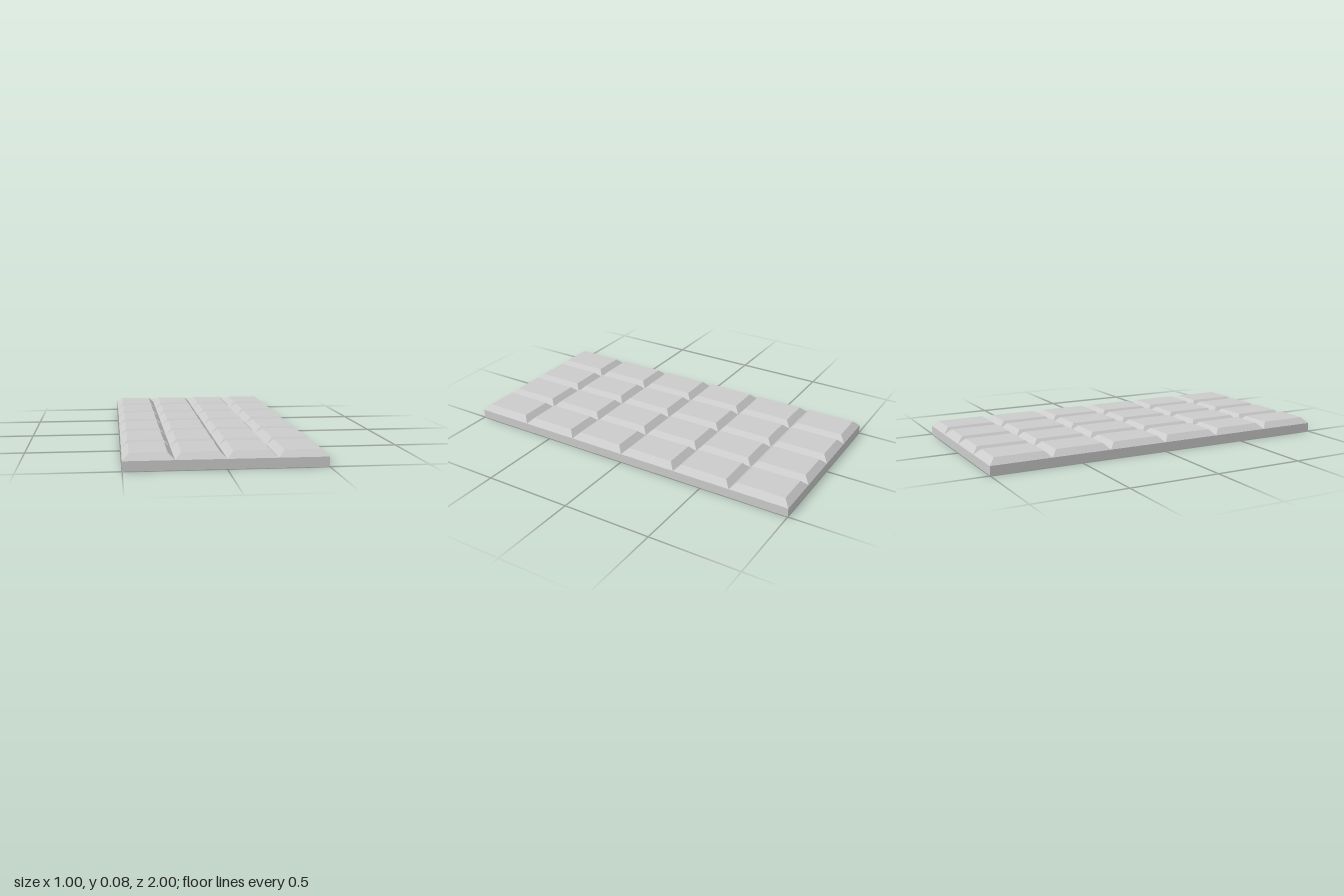
import * as THREE from 'three';

const WIDTH = 1, LENGTH = 2, COLS = 4, ROWS = 6;
const BASE_H = 0.05, BEVEL = 0.033;

// Box whose top face is drawn in by the bevel on all four sides
function bevelledBlock(w, h, d, inset) {
  const geo = new THREE.BoxGeometry(w, h, d).translate(0, h / 2, 0);
  const pos = geo.attributes.position;
  for (let i = 0; i < pos.count; i++) {
    if (pos.getY(i) < h / 2) continue;
    pos.setX(i, Math.sign(pos.getX(i)) * (w / 2 - inset));
    pos.setZ(i, Math.sign(pos.getZ(i)) * (d / 2 - inset));
  }
  geo.computeVertexNormals();
  return geo;
}

export function createModel() {
  const model = new THREE.Group();
  model.name = 'segmentedBar';
  const material = new THREE.MeshStandardMaterial({ color: 0xcccccc, flatShading: true });

  // Flat slab under the segments
  const base = new THREE.Mesh(new THREE.BoxGeometry(WIDTH, BASE_H, LENGTH), material);
  base.name = 'base';
  base.position.y = BASE_H / 2;
  model.add(base);

  // Grid of bevelled segments, meeting in V-shaped grooves
  const segments = new THREE.Group();
  segments.name = 'segments';
  const w = WIDTH / COLS, d = LENGTH / ROWS;
  const block = bevelledBlock(w, BEVEL, d, BEVEL);
  for (let row = 0; row < ROWS; row++) {
    for (let col = 0; col < COLS; col++) {
      const segment = new THREE.Mesh(block, material);
      segment.name = `segment_${row + 1}_${col + 1}`;
      segment.position.set((col + 0.5) * w - WIDTH / 2, BASE_H, (row + 0.5) * d - LENGTH / 2);
      segments.add(segment);
    }
  }
  model.add(segments);
  return model;
}
